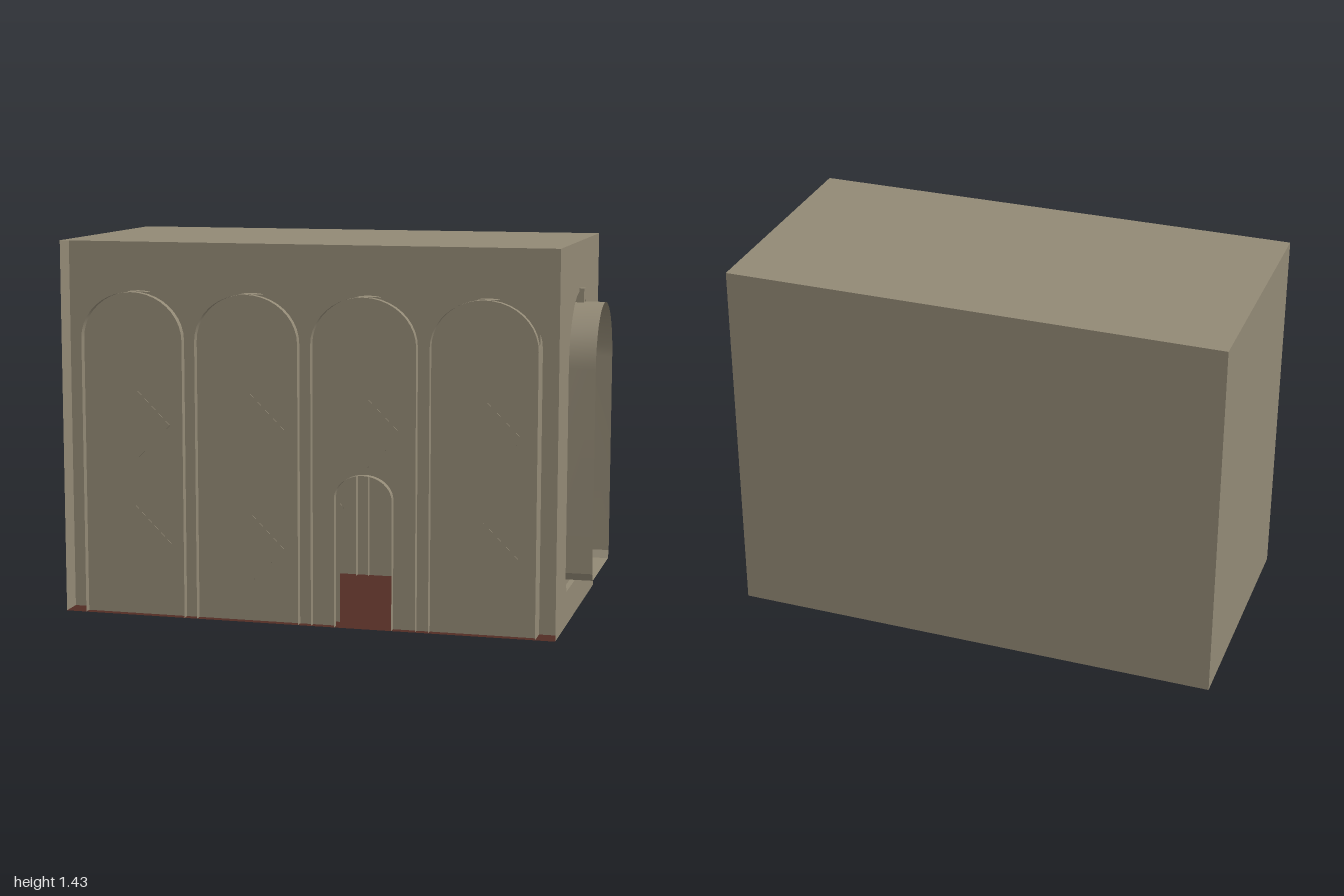
import * as THREE from 'three';
import { toCreasedNormals } from 'three/addons/utils/BufferGeometryUtils.js';

const X0 = -1, X1 = 0.905, H = 1.43, Z = 0.48;

export function createModel() {
  const model = new THREE.Group();
  model.name = 'hall';
  const mat = (name, color) => {
    const m = new THREE.MeshStandardMaterial({ color, side: THREE.DoubleSide });
    m.name = name;
    return m;
  };
  const stone = mat('stone', 0x928975);
  const glass = mat('glass', 0x8692bf);
  const floorRed = mat('floorRed', 0x522c24);

  const add = (parent, name, geometry, material = stone) => {
    const mesh = new THREE.Mesh(geometry, material);
    mesh.name = name;
    parent.add(mesh);
    return mesh;
  };

  // Round-headed outline, from the lower right, over the arch, to the lower left
  const archPoints = (cx, halfWidth, bottom, spring, top, n = 20) => {
    const pts = [new THREE.Vector2(cx + halfWidth, bottom)];
    for (let i = 0; i <= n; i++) {
      const a = (Math.PI * i) / n;
      pts.push(new THREE.Vector2(cx + halfWidth * Math.cos(a), spring + (top - spring) * Math.sin(a)));
    }
    pts.push(new THREE.Vector2(cx - halfWidth, bottom));
    return pts;
  };

  // Window outline with clipped lower corners
  const windowPoints = (halfWidth, bottom, top, cut) => {
    const pts = archPoints(0, halfWidth, bottom + cut * 1.6, 0.97, top, 28);
    pts.push(new THREE.Vector2(-halfWidth + cut, bottom), new THREE.Vector2(halfWidth - cut, bottom));
    return pts;
  };

  // Thin strip following an outline from depth z0 to z1
  const band = (points, z0, z1, closed = false) => {
    const pts = closed ? [...points, points[0]] : points;
    const pos = [], index = [];
    pts.forEach((p, i) => {
      pos.push(p.x, p.y, z0, p.x, p.y, z1);
      if (i) {
        const a = 2 * i - 2;
        index.push(a, a + 2, a + 1, a + 1, a + 2, a + 3);
      }
    });
    const g = new THREE.BufferGeometry();
    g.setAttribute('position', new THREE.Float32BufferAttribute(pos, 3));
    g.setIndex(index);
    g.computeVertexNormals();
    return toCreasedNormals(g, 0.5);
  };

  // Upright sheet, optionally with a doorway cut up from its foot
  const doorway = archPoints(0.18, 0.11, 0, 0.49, 0.58);
  const sheet = (x0, x1, height, z, hasDoor) => {
    const outline = [new THREE.Vector2(x0, 0)];
    if (hasDoor) outline.push(...doorway.slice().reverse());
    outline.push(new THREE.Vector2(x1, 0), new THREE.Vector2(x1, height), new THREE.Vector2(x0, height));
    return new THREE.ShapeGeometry(new THREE.Shape(outline)).translate(0, 0, z);
  };

  // Arcaded wall: backing wall, raised panel, arch bands and diamonds
  const arcade = (name, z, hasDoor) => {
    const g = new THREE.Group();
    g.name = name;
    g.position.z = z;
    add(g, 'wall', sheet(X0, X1, H, 0, hasDoor));
    add(g, 'arcadePanel', sheet(-0.92, 0.83, 1.24, 0.06, hasDoor));
    for (let i = 0; i < 4; i++) {
      const cx = -0.72 + i * 0.45;
      add(g, 'archBand', band(archPoints(cx, 0.2, 0, 1.06, 1.24), 0, 0.09));
      for (const y of [0.735, 0.28]) {
        if (hasDoor && i === 2 && y < 0.5) continue;
        const diamond = add(g, 'diamond', new THREE.BoxGeometry(0.198, 0.198, 0.004));
        diamond.rotation.z = Math.PI / 4;
        diamond.position.set(cx, y, 0.06);
      }
    }
    if (hasDoor) add(g, 'doorBand', band(doorway, 0.06, 0.09));
    model.add(g);
  };
  arcade('frontArcade', 0.39, true);
  arcade('backArcade', -Z, false);

  // Floor, roof and left wall
  const cx = (X0 + X1) / 2, width = X1 - X0;
  const flat = () => new THREE.PlaneGeometry(width, 2 * Z).rotateX(-Math.PI / 2);
  add(model, 'floor', flat(), floorRed).position.set(cx, 0, 0);
  add(model, 'roof', flat()).position.set(cx, H, 0);
  add(model, 'leftEndWall', new THREE.PlaneGeometry(2 * Z, H).rotateY(-Math.PI / 2)).position.set(X0, H / 2, 0);

  // End wall with its window, built facing +z and turned to face +x
  const end = new THREE.Group();
  end.name = 'windowEnd';
  end.rotation.y = Math.PI / 2;
  end.position.x = X1;
  const opening = windowPoints(0.257, 0.13, 1.24, 0.03);
  const pane = windowPoints(0.225, 0.172, 1.2, 0.018);
  const wallShape = new THREE.Shape([[-Z, 0], [Z, 0], [Z, H], [-Z, H]].map(p => new THREE.Vector2(...p)));
  wallShape.holes.push(new THREE.Path(opening));
  add(end, 'endWall', new THREE.ShapeGeometry(wallShape));
  const surround = new THREE.Shape(opening);
  surround.holes.push(new THREE.Path(pane));
  add(end, 'windowSurround', new THREE.ShapeGeometry(surround)).position.z = -0.02;
  add(end, 'windowReveal', band(opening, -0.02, 0, true));
  add(end, 'windowFrame', band(pane, -0.02, 0.095, true));
  add(end, 'windowPane', new THREE.ShapeGeometry(new THREE.Shape(pane)), glass).position.z = 0.005;
  add(end, 'keystone', new THREE.BoxGeometry(0.04, 0.06, 0.035)).position.set(0, 1.222, 0);
  model.add(end);

  return model;
}
